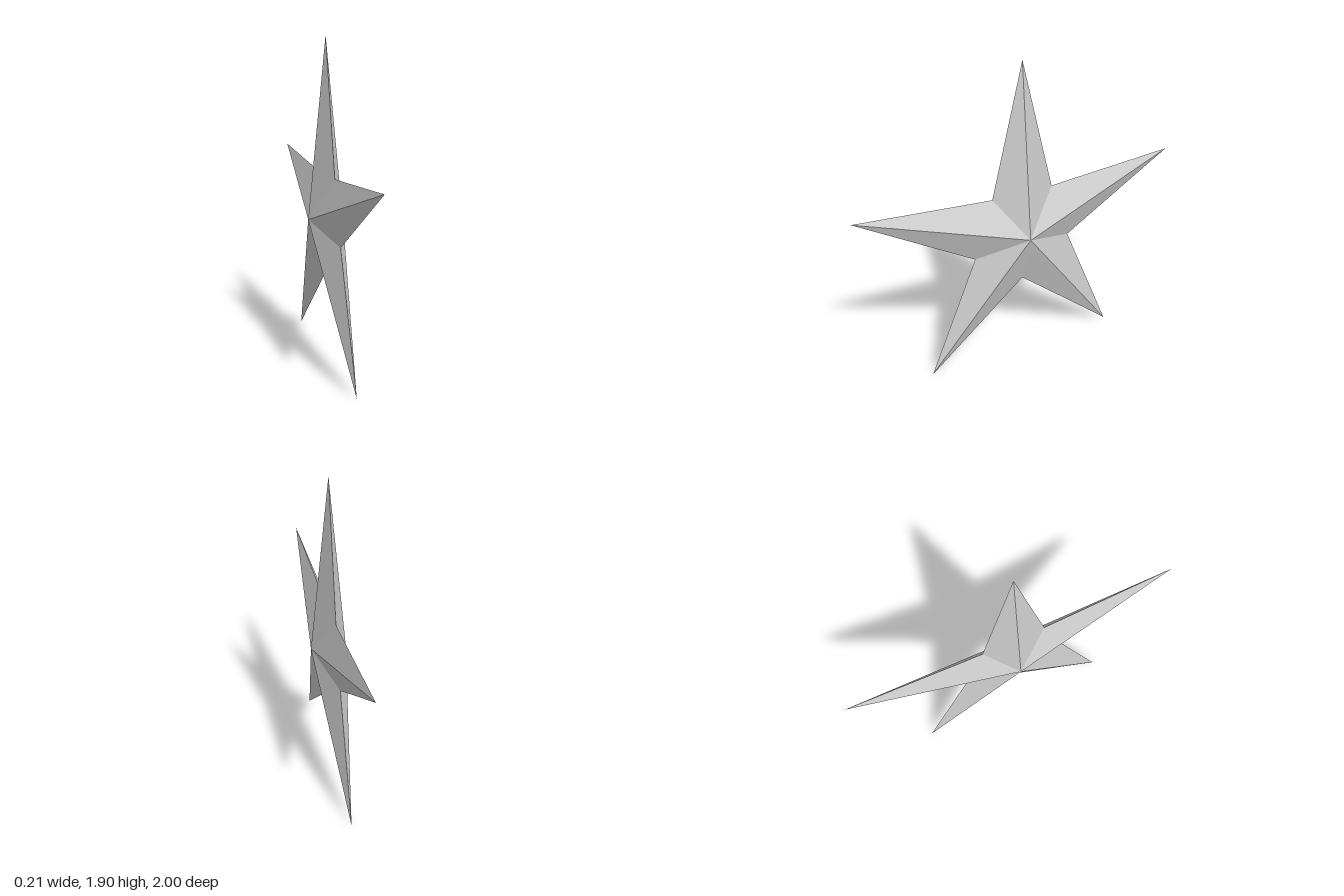
import * as THREE from 'three';

const POINTS = 5;
const OUTER = 1 / Math.sin(Math.PI * 0.4); // arm span of 2 units
const INNER = 0.325;
const HALF_DEPTH = 0.105;

// Outline corner i, alternating arm tip and notch, in the yz plane
function corner(i) {
  const angle = (i * Math.PI) / POINTS;
  const radius = i % 2 === 0 ? OUTER : INNER;
  return [0, radius * Math.cos(angle), radius * Math.sin(angle)];
}

// One faceted half: a fan from the raised centre to the outline
function starHalf(side) {
  const positions = [];
  for (let i = 0; i < POINTS * 2; i++) {
    const a = corner(i);
    const b = corner(i + 1);
    positions.push(side * HALF_DEPTH, 0, 0, ...(side > 0 ? [...a, ...b] : [...b, ...a]));
  }
  const geometry = new THREE.BufferGeometry();
  geometry.setAttribute('position', new THREE.Float32BufferAttribute(positions, 3));
  geometry.computeVertexNormals();
  return geometry;
}

export function createModel() {
  const material = new THREE.MeshStandardMaterial({ color: 0xcccccc, flatShading: true });
  const star = new THREE.Group();
  star.name = 'star';
  for (const [name, side] of [['leftFacets', 1], ['rightFacets', -1]]) {
    const mesh = new THREE.Mesh(starHalf(side), material);
    mesh.name = name;
    // Rest the two lower tips on the ground
    mesh.position.y = OUTER * Math.cos(Math.PI / POINTS);
    star.add(mesh);
  }
  return star;
}
